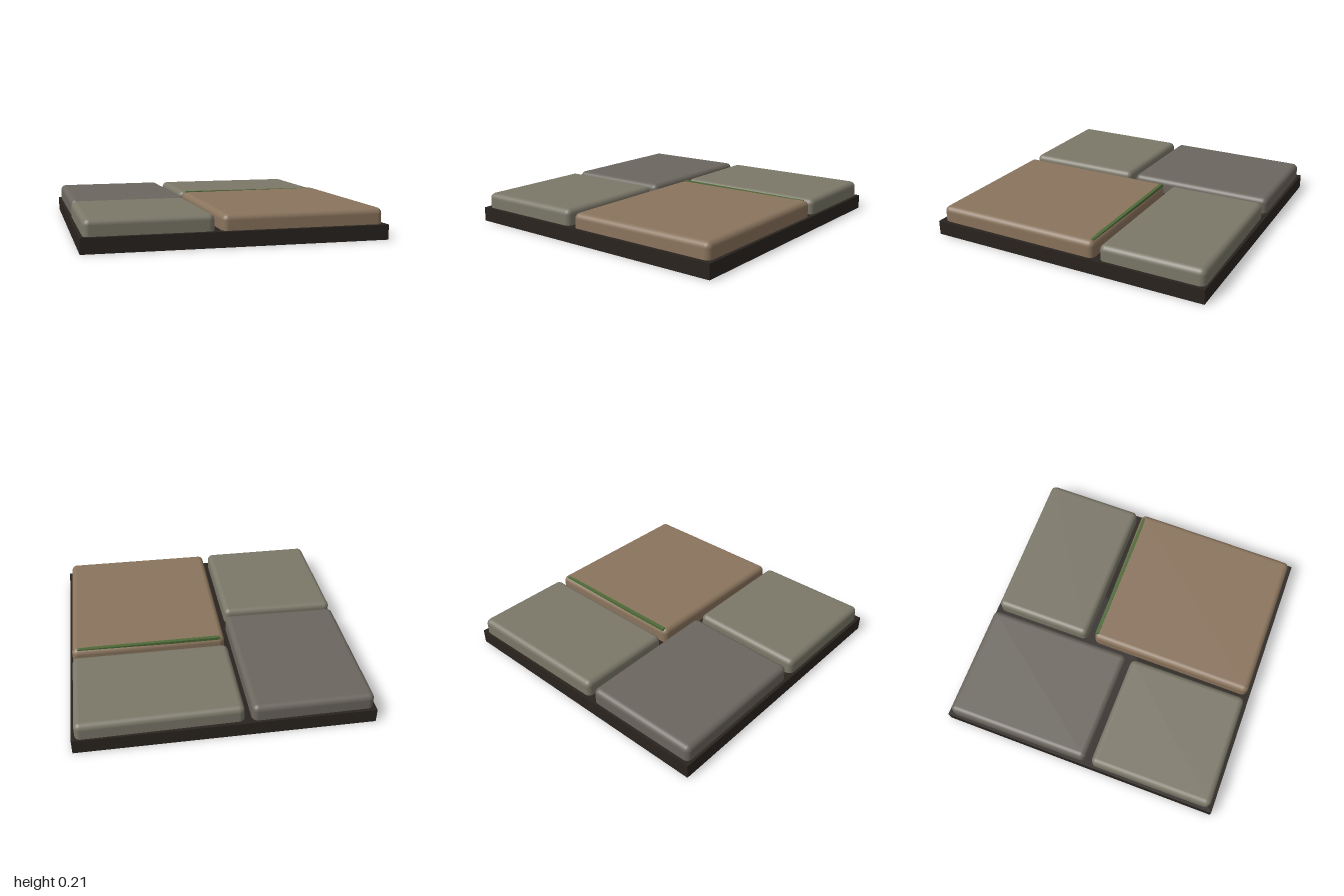
import * as THREE from 'three';
import { RoundedBoxGeometry } from 'three/addons/geometries/RoundedBoxGeometry.js';

const BOTTOM = 0.06, TOP = 0.208;

function addMesh(group, name, geometry, color) {
  const mesh = new THREE.Mesh(geometry, new THREE.MeshStandardMaterial({ color }));
  mesh.name = name;
  group.add(mesh);
  return mesh;
}

// Rounded slab whose edges are slightly skewed and whose top is slightly tilted
function stoneGeometry({ x, z, skewBack = 0, skewFront = 0, skewSide = 0, tiltX = 0, tiltZ = 0 }) {
  const w = x[1] - x[0], d = z[1] - z[0], h = TOP - BOTTOM;
  const geometry = new RoundedBoxGeometry(w, h, d, 4, 0.04);
  const p = geometry.attributes.position;
  for (let i = 0; i < p.count; i++) {
    const u = p.getX(i) / w, v = p.getZ(i) / d, t = p.getY(i) / h + 0.5;
    const skew = THREE.MathUtils.lerp(skewBack, skewFront, v + 0.5);
    p.setXYZ(i,
      p.getX(i) + skewSide * v,
      p.getY(i) + t * (tiltX * u + tiltZ * v),
      p.getZ(i) + skew * u);
  }
  geometry.translate((x[0] + x[1]) / 2, (TOP + BOTTOM) / 2, (z[0] + z[1]) / 2);
  return geometry;
}

export function createModel() {
  const group = new THREE.Group();
  group.name = 'pavingTile';

  // Dark mortar bed
  addMesh(group, 'mortarBed', new THREE.BoxGeometry(2, 0.1, 2), 0x2a241f).position.y = 0.05;

  // Four paving stones
  const stones = [
    { name: 'backRightStone', color: 0x6b665e, x: [-0.98, -0.162], z: [-0.98, 0.06],
      skewBack: -0.006, skewFront: 0.012, skewSide: 0.006, tiltX: 0.003 },
    { name: 'backLeftStone', color: 0x7b7869, x: [-0.118, 0.978], z: [-0.982, -0.27],
      skewBack: -0.014, skewFront: 0.005, tiltZ: -0.005 },
    { name: 'frontRightStone', color: 0x7b7869, x: [-0.98, -0.165], z: [0.103, 0.972],
      skewBack: 0.008, skewFront: -0.006, skewSide: 0.004, tiltX: 0.004 },
    { name: 'frontLeftStone', color: 0x8a745d, x: [-0.115, 0.977], z: [-0.222, 0.972],
      skewBack: -0.014, skewFront: -0.004, skewSide: -0.006, tiltX: 0.006, tiltZ: -0.006 },
  ];
  for (const stone of stones) addMesh(group, stone.name, stoneGeometry(stone), stone.color);

  // Moss along the back edge of the large stone
  addMesh(group, 'mossStrip', new THREE.BoxGeometry(1.02, 0.02, 0.025), 0x4f6a38)
    .position.set(0.43, 0.203, -0.2);

  return group;
}
